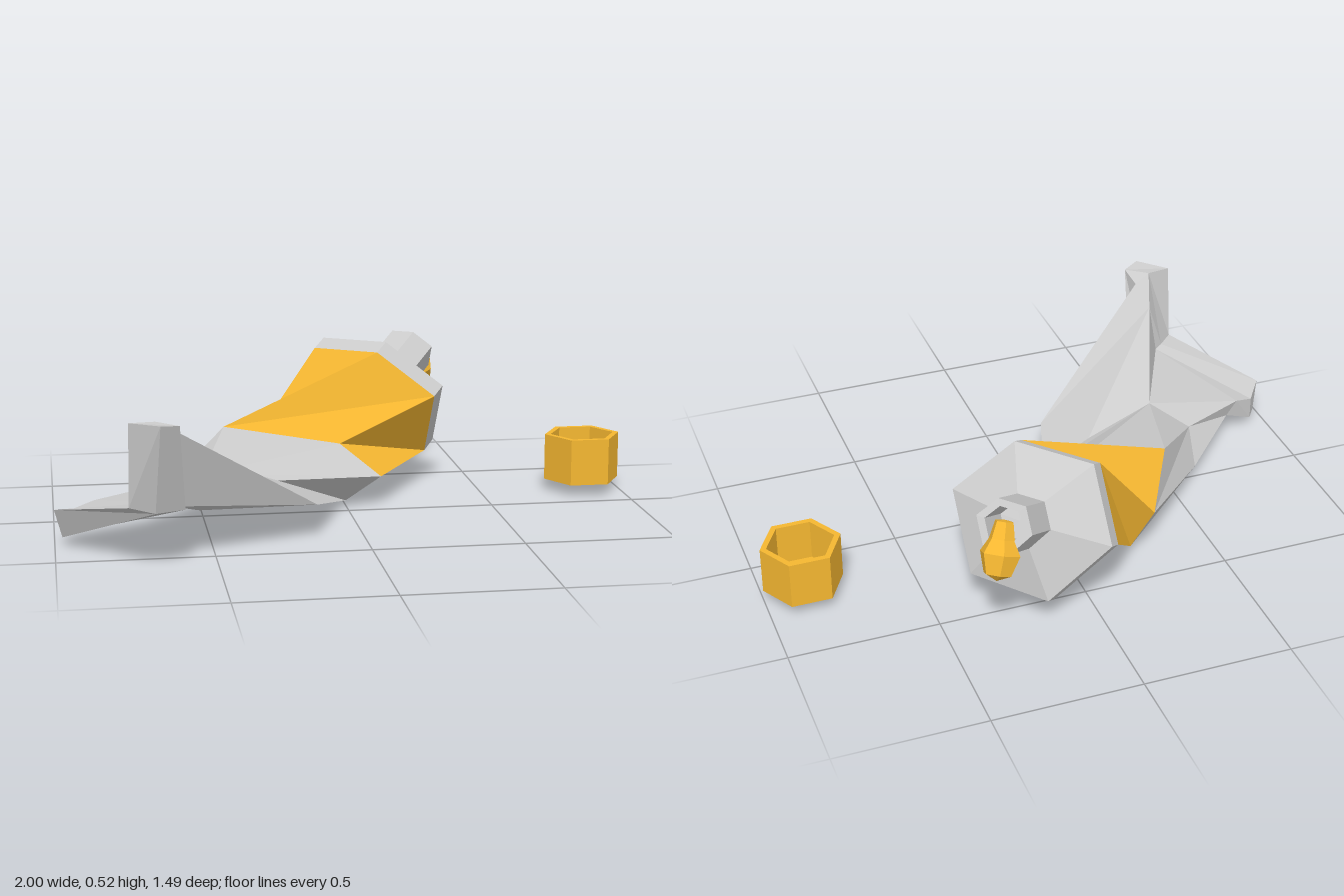
import * as THREE from 'three';

const GREY = 0xcccccc, YELLOW = 0xf5b731;

function part(name, geometry, color) {
  const mesh = new THREE.Mesh(geometry, new THREE.MeshStandardMaterial({
    color, flatShading: true, side: THREE.DoubleSide,
  }));
  mesh.name = name;
  return mesh;
}

// Skin successive rings of points; flip lists the "ring:column" quads split the other way.
// cap lists extra triangles over the first ring.
function loft(rings, flip = [], cap = []) {
  const pos = [];
  const tri = (a, b, c) => {
    if (a.equals(b) || b.equals(c) || a.equals(c)) return;
    for (const p of [a, b, c]) pos.push(p.x, p.y, p.z);
  };
  for (let r = 0; r < rings.length - 1; r++) {
    const P = rings[r], Q = rings[r + 1], n = P.length;
    for (let i = 0; i < n; i++) {
      const j = (i + 1) % n;
      if (flip.includes(`${r}:${i}`)) {
        tri(P[i], P[j], Q[i]);
        tri(P[j], Q[j], Q[i]);
      } else {
        tri(P[i], P[j], Q[j]);
        tri(P[i], Q[j], Q[i]);
      }
    }
  }
  for (const [a, b, c] of cap) tri(rings[0][a], rings[0][b], rings[0][c]);
  const g = new THREE.BufferGeometry();
  g.setAttribute('position', new THREE.Float32BufferAttribute(pos, 3));
  g.computeVertexNormals();
  return g;
}

const ring = (...pts) => pts.map((p) => new THREE.Vector3(...p));

export function createModel() {
  const group = new THREE.Group();

  // Seven columns run round the crumpled tube; repeated points close a column up.
  const K0 = [-0.775, 0.205, 0.635], K1 = [-0.72, 0.205, 0.58], K2 = [-0.69, 0.2, 0.56];
  const crimpOuter = ring([-1, 0.13, 0.33], K0, K0,
    [-0.772, 0.475, 0.66], [-0.68, 0.48, 0.745], [-0.695, 0.19, 0.66], [-0.975, 0.03, 0.3]);
  const crimpInner = ring([-0.94, 0.11, 0.25], K1, K1,
    [-0.69, 0.475, 0.65], [-0.62, 0.472, 0.71], [-0.6, 0.187, 0.61], [-0.94, 0.03, 0.25]);
  const tailStart = ring([-0.87, 0.13, 0.225], K2, K2,
    [-0.665, 0.375, 0.575], [-0.635, 0.445, 0.64], [-0.64, 0.187, 0.565], [-0.83, 0.08, 0.22]);
  const V = [-0.52, 0.2, 0.215];
  const waist = ring([-0.63, 0.14, 0.11], V, V, [-0.26, 0.153, 0.144],
    [-0.155, 0.118, 0.345], [-0.52, 0.056, 0.124], [-0.6, 0.06, -0.02]);
  const M = [0.01, 0.003, -0.14];
  const middle = ring([-0.29, 0.17, -0.38], [-0.41, 0.272, -0.176], [-0.01, 0.206, -0.144],
    [0.118, 0.11, -0.037], M, M, [-0.22, 0.03, -0.35]);
  const B = [0.145, 0.083, -0.6];
  const rimBack = ring([-0.05, 0.485, -0.48], [0.145, 0.497, -0.287], [0.345, 0.34, -0.256],
    [0.34, 0.11, -0.41], B, B, [-0.055, 0.27, -0.634]);

  // Shoulder and neck rings are the rim scaled and slid along the neck axis.
  const centre = new THREE.Vector3(0.145, 0.305, -0.445);
  const axis = new THREE.Vector3(0.62, 0.48, -0.68).normalize();
  const slide = (scale, t) => rimBack.map((p) =>
    p.clone().sub(centre).multiplyScalar(scale).add(centre).addScaledVector(axis, t));

  group.add(part('tubeTail', loft([crimpOuter, crimpInner, tailStart, waist, middle],
    ['2:2', '2:4'], [[0, 5, 1], [0, 6, 5], [1, 4, 3], [1, 5, 4]]), GREY));
  group.add(part('tubeBand', loft([middle, rimBack]), YELLOW));
  group.add(part('shoulderAndNeck', loft([rimBack, slide(1, 0.063), slide(0.34, 0.14),
    slide(0.34, 0.31), slide(0.24, 0.31), slide(0.24, 0.17), slide(0, 0.17)]), GREY));

  const lathe = (pts, start = 0) =>
    new THREE.LatheGeometry(pts.map((p) => new THREE.Vector2(...p)), 6, start);

  // Paste drooping out of the neck
  const paste = part('paste', lathe([[0, 0], [0.03, 0.005], [0.042, 0.06], [0.066, 0.105],
    [0.045, 0.17], [0, 0.19]]), YELLOW);
  const from = new THREE.Vector3(0.325, 0.46, -0.637), to = new THREE.Vector3(0.38, 0.295, -0.715);
  paste.position.copy(from);
  paste.quaternion.setFromUnitVectors(new THREE.Vector3(0, 1, 0), to.sub(from).normalize());
  group.add(paste);

  // Loose hexagonal cap, open at the top
  const cap = part('cap', lathe([[0, 0.043], [0.134, 0.043], [0.134, 0.205], [0.113, 0.205],
    [0.113, 0.065], [0, 0.065]], Math.PI / 6), YELLOW);
  cap.position.set(0.866, 0, -0.187);
  group.add(cap);

  return group;
}
